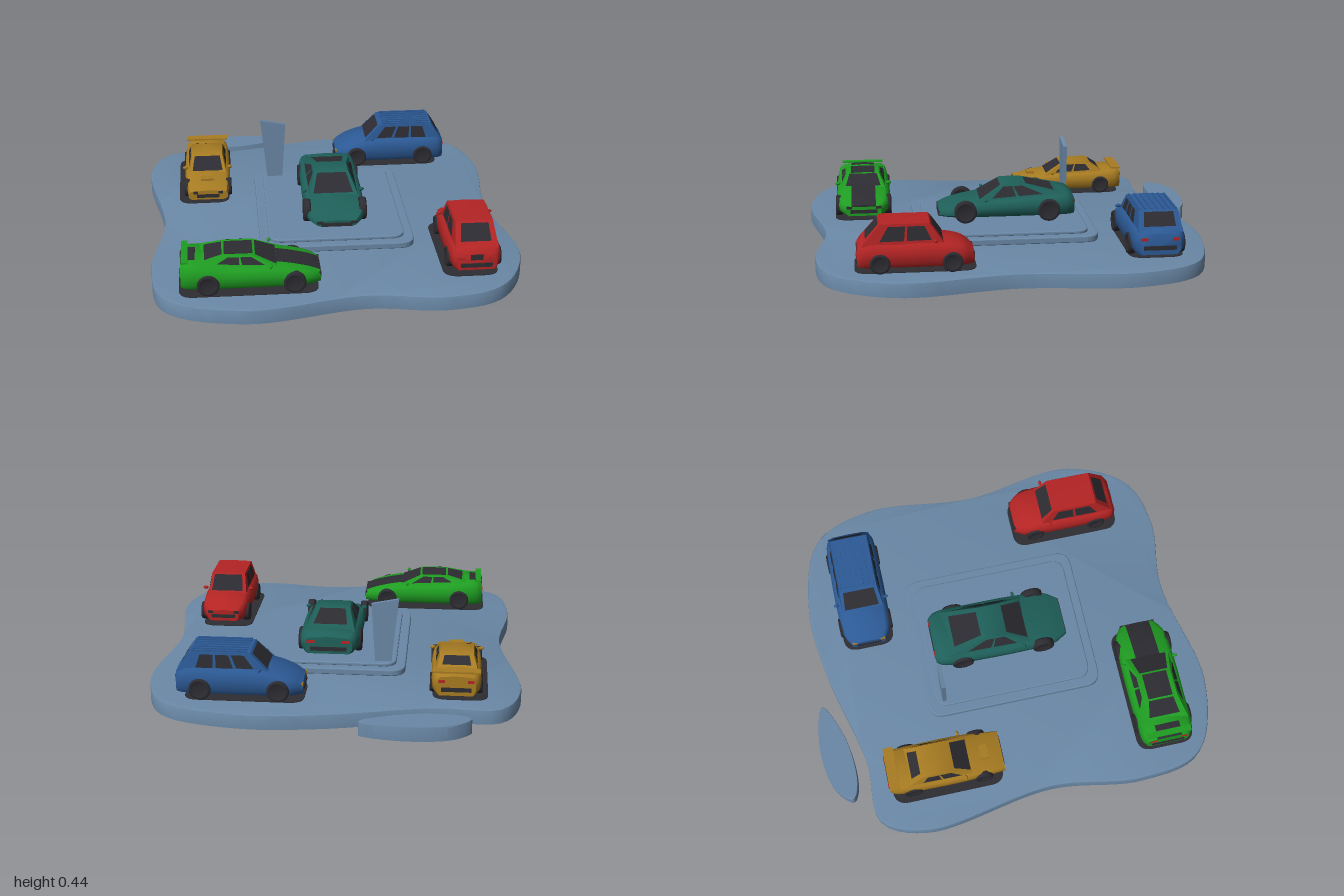
import * as THREE from 'three';
import { toCreasedNormals } from 'three/addons/utils/BufferGeometryUtils.js';

const V = (x, y, z) => new THREE.Vector3(x, y, z);
const paint = (name, color, side = THREE.FrontSide) => {
  const m = new THREE.MeshStandardMaterial({ color, side });
  m.name = name;
  return m;
};
const slate = paint('slate', 0x6a88a6, THREE.DoubleSide), dark = paint('charcoal', 0x2c2c32, THREE.DoubleSide);
const green = paint('green', 0x1f9e22), red = paint('red', 0xb42424), blue = paint('blue', 0x2c5a96);
const yellow = paint('yellow', 0xa87c22), teal = paint('teal', 0x1f605a);

function put(group, name, geo, mat, x = 0, y = 0, z = 0) {
  const m = new THREE.Mesh(geo, mat);
  m.name = name;
  m.position.set(x, y, z);
  group.add(m);
  return m;
}

// Box of a given size, mirrored when it is off centre
function trim(group, name, mat, [w, h, d], x, y, z) {
  for (const s of x ? [1, -1] : [1]) put(group, name, new THREE.BoxGeometry(w, h, d), mat, s * x, y, z);
}

// Skin over equal-sized rings; startCap and endCap are lists of index triples
function loft(rings, startCap, endCap, crease = 0.6) {
  const n = rings[0].length, idx = [], last = (rings.length - 1) * n;
  for (let i = 0; i < last; i += n) {
    for (let j = 0; j < n; j++) {
      const a = i + j, b = i + (j + 1) % n;
      idx.push(a, b, a + n, b, b + n, a + n);
    }
  }
  for (const [a, b, c] of startCap) idx.push(a, c, b);
  for (const [a, b, c] of endCap) idx.push(last + a, last + b, last + c);
  return toCreasedNormals(new THREE.BufferGeometry().setFromPoints(rings.flat()).setIndex(idx), crease);
}
const fan = n => Array.from({ length: n - 2 }, (_, k) => [0, k + 1, k + 2]);

// Hollow slab with a softened top edge and open underside, from a closed [x, z] outline
function slab(outline, height, soft) {
  const curve = new THREE.CatmullRomCurve3(outline.map(([x, z]) => V(x, 0, z)).reverse(), true);
  const pts = curve.getSpacedPoints(140).slice(0, -1);
  const cap = THREE.ShapeUtils.triangulateShape(pts.map(p => new THREE.Vector2(p.x, -p.z)), []);
  const ring = (s, y) => pts.map(p => V(p.x * s, y, p.z * s));
  return loft([ring(1, 0), ring(1, height - 0.008), ring(1 - soft * 0.3, height - 0.002), ring(1 - soft, height)], [], cap);
}

// Flat plate with rounded corners, standing on its own y = 0
function plate(w, d, r, h, bevel = 0) {
  const s = new THREE.Shape(), a = w / 2 - bevel, b = d / 2 - bevel;
  s.moveTo(-a + r, -b);
  s.lineTo(a - r, -b).quadraticCurveTo(a, -b, a, -b + r);
  s.lineTo(a, b - r).quadraticCurveTo(a, b, a - r, b);
  s.lineTo(-a + r, b).quadraticCurveTo(-a, b, -a, b - r);
  s.lineTo(-a, -b + r).quadraticCurveTo(-a, -b, -a + r, -b);
  return new THREE.ExtrudeGeometry(s, { depth: h - 2 * bevel, bevelEnabled: bevel > 0, bevelSize: bevel, bevelThickness: bevel, bevelSegments: 3, curveSegments: 8 })
    .rotateX(-Math.PI / 2).translate(0, bevel, 0);
}

// Window: part of a four-cornered face, lifted slightly off it
function pane(c, u0, u1, v0, v1) {
  const n = c[1].clone().sub(c[0]).cross(c[3].clone().sub(c[0])).normalize().multiplyScalar(0.004);
  const at = (u, v) => c[0].clone().lerp(c[1], u).lerp(c[3].clone().lerp(c[2], u), v).add(n);
  const g = new THREE.BufferGeometry().setFromPoints([at(u0, v0), at(u1, v0), at(u1, v1), at(u0, v1)]);
  g.setIndex([0, 1, 2, 0, 2, 3]);
  g.computeVertexNormals();
  return g;
}

// Shared body plan: stations along the half length and their share of the half width
const ALONG = [-1, -0.9, -0.3, 0.35, 0.8, 1], WIDE = [0.78, 0.93, 1, 1, 0.92];

// Car facing +z on y = 0. L, W: half length and half width; tops: body height at each station;
// cabin: z of screen base, roof front, roof rear, rear base
function car(o) {
  const { L, W, color, lamp = dark, nose = 0.66, panes = 2, clear = 0.025 } = o;
  const g = new THREE.Group();
  g.name = o.name;
  g.position.set(...o.pos);
  g.rotation.y = o.turn;
  const stations = ALONG.map((k, i) => V(k * L, (WIDE[i] ?? nose) * W, o.tops[i]));
  const rows = new THREE.CatmullRomCurve3(stations).getPoints(28);
  const topAt = z => {
    const i = rows.findIndex(r => r.x >= z), a = rows[i - 1], b = rows[i];
    return a.z + (b.z - a.z) * (z - a.x) / (b.x - a.x);
  };

  // body shell
  put(g, 'body', loft(rows.map(({ x: z, y: w, z: t }) => {
    const h = t - clear;
    const half = [[0.85, clear], [0.98, clear + 0.2 * h], [1, clear + 0.55 * h], [0.93, t - 0.16 * h], [0.8, t - 0.006]];
    return [...half.map(([k, y]) => V(k * w, y, z)), V(0, t, z), ...half.reverse().map(([k, y]) => V(-k * w, y, z))];
  }), fan(11), fan(11), 0.8), color);

  // cabin shell
  const [bf, rf, rr, br] = o.cabin, roof = o.roof, wb = W * 0.84, wr = W * o.roofW;
  const yf = topAt(bf) - 0.008, yr = topAt(br) - 0.008;
  const belt = z => yr + (yf - yr) * (z - br) / (bf - br);
  const section = (z, w, t, crown) => [V(wb, belt(z), z), V(w, t, z), V(0, t + crown, z), V(-w, t, z), V(-wb, belt(z), z)];
  put(g, 'cabin', loft([section(br, wb * 0.95, yr, 0), section(rr, wr, roof, 0.003),
    section(rf, wr, roof, 0.003), section(bf, wb * 0.95, yf, 0)], fan(5), fan(5)), color);

  // windows and mirrors
  const corner = (s, front, up) => V(s * (up ? wr : wb), up ? roof : front ? yf : yr, front ? (up ? rf : bf) : (up ? rr : br));
  const face = (s, f, t, h) => [corner(s, f, 0), corner(t, h, 0), corner(t, h, 1), corner(s, f, 1)];
  put(g, 'windscreen', pane(face(-1, 1, 1, 1), 0.09, 0.91, 0.12, 0.92), dark);
  put(g, 'rearWindow', pane(face(1, 0, -1, 0), 0.14, 0.86, 0.25, 0.92), dark);
  for (const s of [1, -1]) {
    const side = s > 0 ? face(1, 1, 1, 0) : face(-1, 0, -1, 1);
    for (let i = 0; i < panes; i++) {
      const step = 0.72 / panes, a = 0.13 + i * step, b = a + step - 0.04;
      put(g, 'sideWindow', pane(side, s > 0 ? a : 1 - b, s > 0 ? b : 1 - a, 0.2, 0.88), dark);
    }
    put(g, 'mirror', new THREE.SphereGeometry(1, 10, 6).scale(0.014, 0.009, 0.008), color, s * (wb + 0.018), yf + 0.018, bf - 0.04);
  }

  // wheels with recessed hubs
  const rim = [[0, 0.011], [0.6, 0.011], [0.68, 0.018], [0.92, 0.018], [1, 0.011]], r = o.wheelR;
  const tyre = [...rim.map(([k, y]) => [k, -y]), ...rim.reverse()].map(([k, y]) => new THREE.Vector2(k * r, y));
  for (const s of [1, -1]) for (const z of [0.62 * L, -0.61 * L]) {
    put(g, 'wheel', new THREE.LatheGeometry(tyre, 24).rotateZ(Math.PI / 2), dark, s * (W - 0.012), r, z);
  }

  // stripes follow the bonnet, roof and boot
  if (o.stripe) {
    const hw = o.stripe, drop = p => [p.x, p.z, 0.0075 * hw / p.y];
    const runs = [rows.filter(p => p.x > bf - 0.02).map(drop), rows.filter(p => p.x < br + 0.02).map(drop),
      [[rr, roof + 0.003, 0.002], [rf, roof + 0.003, 0.002]]];
    for (const run of runs) {
      put(g, 'stripe', loft(run.map(([z, y, d]) => [V(hw, y - d - 0.002, z), V(hw, y - d + 0.003, z), V(0, y + 0.003, z),
        V(-hw, y - d + 0.003, z), V(-hw, y - d - 0.002, z)]), fan(5), fan(5)), dark);
    }
  }

  // nose and tail fittings
  const [tail, front] = [o.tops[0], o.tops[5]];
  trim(g, 'grille', dark, [W, 0.018, 0.008], 0, 0.6 * front, L);
  trim(g, 'headlamp', lamp, [0.2 * W, 0.014, 0.08 * L], 0.55 * W, front - 0.012, 0.965 * L);
  trim(g, 'rearPanel', dark, [1.2 * W, 0.02, 0.008], 0, 0.45 * tail, -L);
  trim(g, 'tailLamp', red, [0.25 * W, 0.014, 0.008], 0.58 * W, 0.78 * tail, -L);

  return g;
}

export function createModel() {
  const model = new THREE.Group();

  // wavy base and small island
  const outline = [[-.9, -.55], [-.8, -.77], [-.5, -.78], [.03, -.905], [.38, -.93], [.75, -.82], [.87, -.53], [.83, .03],
    [.895, .58], [.74, .88], [.48, .955], [.12, .912], [-.44, 1], [-.8, .87], [-.87, .56], [-.815, .1]];
  put(model, 'base', slab(outline, 0.07, 0.008), slate);
  const drop = [[-.255, .04], [-.17, -.045], [.06, -.077], [.253, -.03], [.06, .06], [-.19, .075]];
  put(model, 'island', slab(drop, 0.07, 0.02), slate, -0.415, 0, -0.922);

  // stepped platform, its underside panel and the sign
  put(model, 'platform', plate(0.75, 0.89, 0.07, 0.032, 0.006), slate, 0.027, 0.07, 0.025);
  put(model, 'platformTop', plate(0.66, 0.8, 0.06, 0.018, 0.006), slate, 0.027, 0.1, 0.025);
  put(model, 'undersidePanel', plate(0.62, 0.76, 0.06, 0.004), blue, 0.027, 0.064, 0.025);
  const sign = new THREE.Shape([[-.278, .11], [-.2, .11], [-.18, .41], [-.312, .437]].map(p => new THREE.Vector2(...p)));
  put(model, 'sign', new THREE.ExtrudeGeometry(sign, { depth: 0.02, bevelEnabled: false }), slate, 0, 0, -0.343);

  const centreCar = car({ name: 'centreCar', color: teal, pos: [.03, .118, .007], turn: 0, L: .34, W: .15, wheelR: .056,
    tops: [.112, .132, .124, .108, .078, .056], cabin: [.15, .02, -.08, -.29], roof: .177, roofW: .57 });

  const stripedCar = car({ name: 'stripedCar', color: green, pos: [-.407, .07, .72], turn: Math.PI / 2, L: .32, W: .137, wheelR: .052,
    tops: [.135, .152, .134, .13, .102, .08], cabin: [.13, .01, -.12, -.24], roof: .172, roofW: .62, stripe: .062 });
  trim(stripedCar, 'spoiler', green, [.22, .008, .03], 0, .157, -.3);

  const smallCar = car({ name: 'smallCar', color: red, pos: [.645, .07, .49], turn: Math.PI, L: .268, W: .124, wheelR: .047,
    tops: [.11, .138, .142, .144, .122, .085], cabin: [.13, .065, -.16, -.248], roof: .226, roofW: .72 });
  trim(smallCar, 'numberPlate', dark, [.06, .028, .006], 0, .09, -.267);

  const familyCar = car({ name: 'familyCar', color: blue, pos: [.405, .07, -.65], turn: -Math.PI / 2, L: .295, W: .13, wheelR: .052,
    tops: [.13, .154, .157, .152, .115, .085], cabin: [.14, .055, -.23, -.285], roof: .224, roofW: .73, panes: 3, lamp: yellow });
  for (const x of [0, 0.03, 0.058, 0.086]) trim(familyCar, 'roofRib', blue, [.008, .008, .26], x, .228, -.09);

  const wedgeCar = car({ name: 'wedgeCar', color: yellow, pos: [-.595, .07, -.4], turn: 0, L: .29, W: .117, wheelR: .046, nose: .87,
    tops: [.122, .128, .12, .112, .09, .076], cabin: [.13, .03, -.12, -.19], roof: .163, roofW: .68 });
  trim(wedgeCar, 'spoiler', yellow, [.22, .008, .05], 0, .138, -.262);
  trim(wedgeCar, 'scoop', yellow, [.07, .012, .04], 0, .104, .2);

  // dark pads beneath the cars, passing through the base
  const pad = (vehicle, w, d, x, y) => {
    put(model, 'pad', plate(w, d, 0.07, 0.009), dark, vehicle.position.x + x, y, vehicle.position.z).rotation.y = vehicle.rotation.y;
  };
  pad(centreCar, 0.2, 0.36, 0, 0.058);
  pad(stripedCar, 0.29, 0.64, -0.01, 0.064);
  for (const c of [smallCar, familyCar, wedgeCar]) pad(c, 0.26, 0.56, -0.02, 0.064);
  model.add(centreCar, stripedCar, smallCar, familyCar, wedgeCar);
  return model;
}
